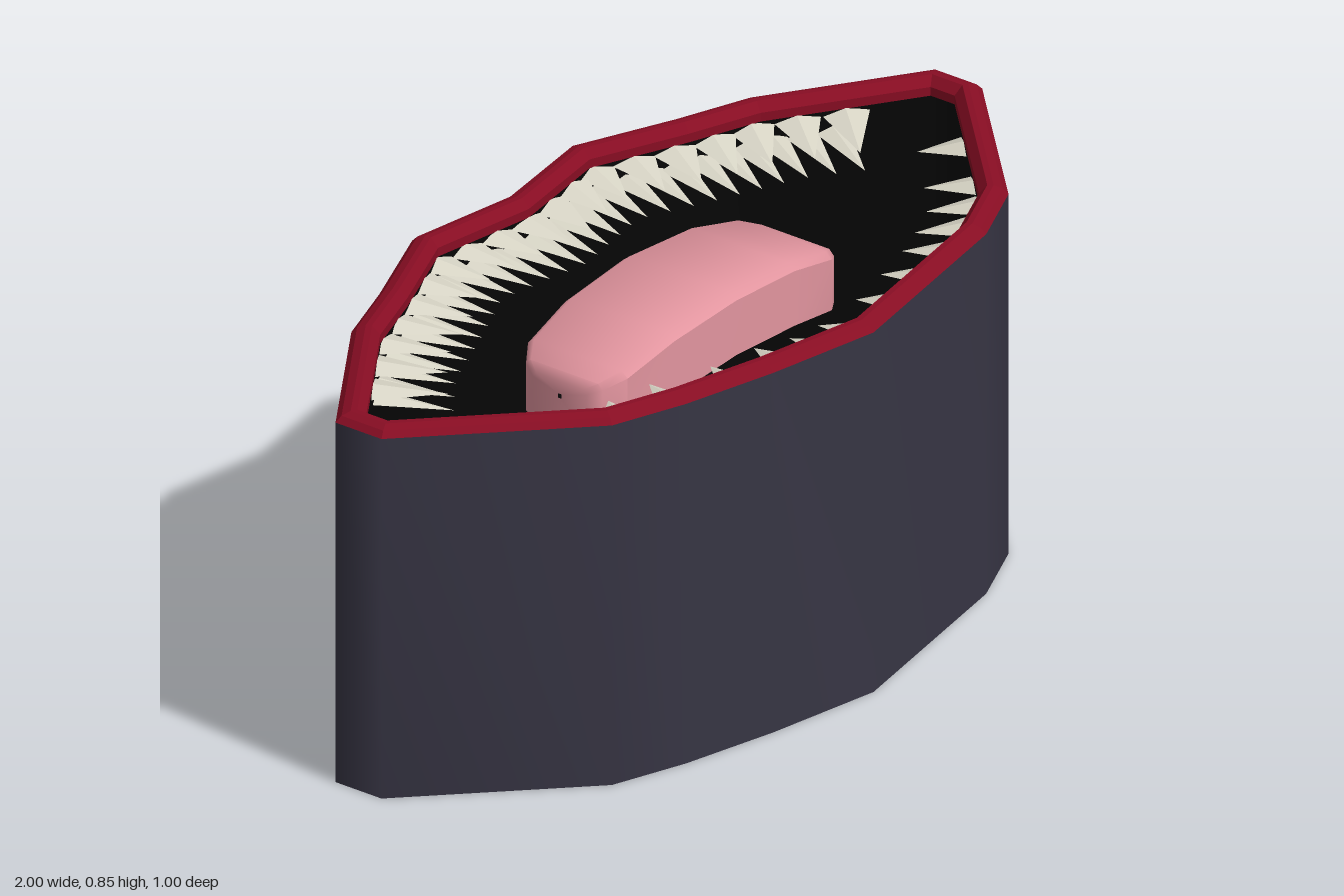
import * as THREE from 'three';
import { toCreasedNormals } from 'three/addons/utils/BufferGeometryUtils.js';

const mat = (name, color, side = THREE.FrontSide) => {
  const m = new THREE.MeshStandardMaterial({ color, side });
  m.name = name;
  return m;
};

// Mouth outline as x, z pairs, running back left -> back right -> front
const outline = [
  [-1, -0.12], [-0.66, -0.345], [-0.49, -0.405], [-0.26, -0.5], [0, -0.46], [0.26, -0.5],
  [0.49, -0.405], [0.66, -0.345], [1, -0.12], [1, 0], [0.66, 0.335], [0.49, 0.41],
  [0, 0.5], [-0.27, 0.45], [-0.49, 0.395], [-0.66, 0.335], [-1, 0],
].map(([x, z]) => new THREE.Vector2(x, z));

// Mitred inward offset of the outline
function inset(d) {
  const n = outline.length;
  const normal = (a, b) => new THREE.Vector2(-(b.y - a.y), b.x - a.x).normalize();
  return outline.map((p, i) => {
    const n1 = normal(outline[(i + n - 1) % n], p);
    const n2 = normal(p, outline[(i + 1) % n]);
    const m = n1.clone().add(n2);
    return p.clone().addScaledVector(m, d / (1 + n1.dot(n2)));
  });
}

const ring = (d, y) => inset(d).map((p) => new THREE.Vector3(p.x, y, p.y));

// Skin between closed rings of equal length
function loft(rings) {
  const n = rings[0].length;
  const index = [];
  for (let r = 0; r < rings.length - 1; r++) {
    for (let i = 0; i < n; i++) {
      const j = (i + 1) % n;
      const a = r * n + i, b = r * n + j, c = a + n, d = b + n;
      index.push(a, c, d, a, d, b);
    }
  }
  const g = new THREE.BufferGeometry().setFromPoints(rings.flat());
  g.setIndex(index);
  g.computeVertexNormals();
  return g;
}

function flat(g) {
  const f = g.toNonIndexed();
  f.computeVertexNormals();
  return f;
}

export function createModel() {
  const model = new THREE.Group();
  model.name = 'toothedMouth';
  const slate = mat('slate', 0x373544, THREE.DoubleSide);
  const red = mat('lipRed', 0x880d23, THREE.DoubleSide);
  const black = mat('black', 0x060606, THREE.DoubleSide);
  const pink = mat('tonguePink', 0xe2959f);
  const ivory = mat('ivory', 0xd8d5c6);
  const add = (name, geometry, material, parent = model) => {
    const m = new THREE.Mesh(geometry, material);
    m.name = name;
    parent.add(m);
    return m;
  };

  // Outer wall, open at the bottom
  add('outerWall', loft([ring(0, 0), ring(0, 0.83)]), slate);

  // Rounded lip around the rim
  add('lip', flat(loft([
    ring(0, 0.83), ring(0.012, 0.843), ring(0.03, 0.85), ring(0.043, 0.85), ring(0.06, 0.83), ring(0.06, 0.81),
  ])), red);

  // Black throat and its floor
  add('throat', loft([ring(0.06, 0.81), ring(0.06, 0.155)]), black);
  const floor = new THREE.ShapeGeometry(new THREE.Shape(inset(0.06)));
  floor.rotateX(Math.PI / 2);
  floor.translate(0, 0.155, 0);
  add('throatFloor', floor, black);

  // Arched tongue: sections along x as x, top height, half width, thickness
  const sections = [
    [-0.4, 0.69, 0.005, 0.01], [-0.4, 0.72, 0.07, 0.11], [-0.385, 0.735, 0.1, 0.12],
    [-0.34, 0.755, 0.13, 0.13], [-0.2, 0.79, 0.143, 0.14], [0, 0.805, 0.148, 0.14],
  ];
  const all = [...sections, ...sections.slice(0, -1).reverse().map(([x, ...rest]) => [-x, ...rest])];
  const tongue = loft(all.map(([x, y, w, t]) => [
    [0.88, 0], [-0.88, 0], [-1, 0.1], [-1, 1], [1, 1], [1, 0.1],
  ].map(([z, drop]) => new THREE.Vector3(x, y - drop * t, z * w - 0.005))));
  add('tongue', toCreasedNormals(tongue, 0.8), pink);

  // Teeth: flat spikes from base to tip
  const spike = flat(new THREE.ConeGeometry(1, 1, 4).translate(0, 0.5, 0).rotateX(Math.PI / 2));
  function tooth(parent, name, base, tip, radius) {
    const m = add(name, spike, ivory, parent);
    m.position.copy(base);
    m.lookAt(tip);
    m.scale.set(radius, 0.012, base.distanceTo(tip));
  }
  const group = (name) => {
    const g = new THREE.Group();
    g.name = name;
    model.add(g);
    return g;
  };

  // Front row, each as base x, base z, tip x, tip z
  const front = group('frontTeeth');
  [
    [-0.83, 0.1, -0.78, 0.01], [-0.68, 0.26, -0.63, 0.15], [-0.59, 0.31, -0.5, 0.2],
    [-0.46, 0.36, -0.39, 0.22], [-0.31, 0.4, -0.25, 0.27], [-0.17, 0.42, -0.13, 0.29],
    [0.05, 0.45, 0.03, 0.33], [-0.06, 0.45, -0.05, 0.32], [0.2, 0.42, 0.17, 0.32],
    [0.33, 0.4, 0.29, 0.29], [0.45, 0.37, 0.4, 0.26], [0.55, 0.33, 0.48, 0.23],
    [0.64, 0.29, 0.57, 0.19], [0.71, 0.23, 0.65, 0.12], [0.83, 0.1, 0.77, 0.01],
  ].forEach(([x, z, tx, tz]) => tooth(front, 'frontTooth',
    new THREE.Vector3(x, 0.8, z), new THREE.Vector3(tx, 0.78, tz), 0.052));

  // Two crowded back rows following the back edge
  const edge = inset(0.055).slice(0, 9);
  const backZ = (x) => {
    const i = Math.min(7, Math.max(0, edge.findIndex((p) => p.x > x) - 1));
    const a = edge[i], b = edge[i + 1];
    return a.y + ((b.y - a.y) * (x - a.x)) / (b.x - a.x);
  };
  const backRow = (name, count, reach, y, start, end, lean, radius) => {
    const g = group(name + 'Row');
    for (let i = 0; i < count; i++) {
      const x = reach * (-1 + (2 * i) / (count - 1));
      const z = backZ(x);
      tooth(g, name, new THREE.Vector3(x, y, z + start),
        new THREE.Vector3(x * (1 - lean), y - 0.015, z + end), radius);
    }
  };
  backRow('upperBackTooth', 19, 0.79, 0.8, 0.0, 0.12, 0.13, 0.052);
  backRow('lowerBackTooth', 29, 0.76, 0.765, 0.01, 0.155, 0.1, 0.036);

  return model;
}
